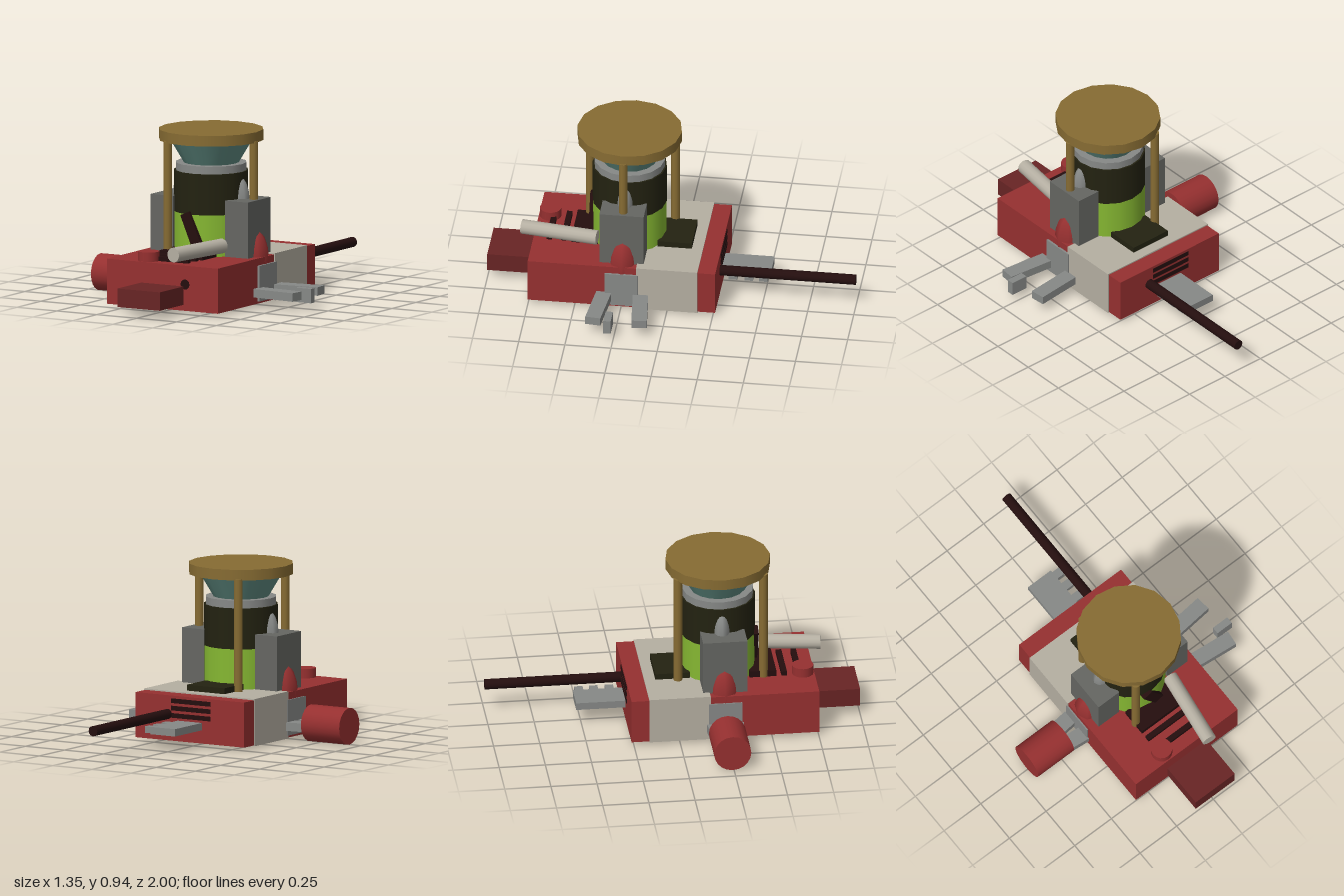
import * as THREE from 'three';

const mat = (name, color) => Object.assign(new THREE.MeshStandardMaterial({ color }), { name });

export function createModel() {
  const red = mat('red', 0x963030), darkRed = mat('dark red', 0x682424);
  const beige = mat('beige', 0xb5afa2), gold = mat('gold', 0x876c33);
  const teal = mat('teal', 0x628f85), lightGrey = mat('light grey', 0x878987);
  const darkGrey = mat('dark grey', 0x656662), green = mat('green', 0x86b832);
  const olive = mat('dark olive', 0x232211), brown = mat('dark brown', 0x240e0e);

  const model = new THREE.Group();
  model.name = 'model';
  const add = (name, geometry, material) => {
    const mesh = new THREE.Mesh(geometry, material);
    mesh.name = name;
    model.add(mesh);
    return mesh;
  };
  // box given by its limits on each axis
  const box = (name, material, x0, x1, y0, y1, z0, z1) => {
    const m = add(name, new THREE.BoxGeometry(x1 - x0, y1 - y0, z1 - z0), material);
    m.position.set((x0 + x1) / 2, (y0 + y1) / 2, (z0 + z1) / 2);
    return m;
  };
  // cylinder between two points
  const rod = (name, material, a, b, r, sides = 16) => {
    const from = new THREE.Vector3(...a), to = new THREE.Vector3(...b);
    const dir = to.clone().sub(from);
    const m = add(name, new THREE.CylinderGeometry(r, r, dir.length(), sides), material);
    m.position.copy(from).add(to).multiplyScalar(0.5);
    m.quaternion.setFromUnitVectors(new THREE.Vector3(0, 1, 0), dir.normalize());
    return m;
  };
  const CX = 0.0145, CZ = 0.245; // axis of the central column

  // hull, band and front step
  box('hull', red, -0.335, 0.36, 0.02, 0.265, -0.263, 0.753);
  box('hullBand', beige, -0.34, 0.367, 0.016, 0.272, -0.167, 0.165);
  box('frontStep', darkRed, -0.12, 0.146, 0.052, 0.152, 0.74, 1);
  rod('bottomDisc', gold, [CX, 0.0185, CZ], [CX, 0.025, CZ], 0.2);

  // central column
  const section = (name, material, y0, y1, r0, r1 = r0) => {
    const m = add(name, new THREE.CylinderGeometry(r1, r0, y1 - y0, 16), material);
    m.position.set(CX, (y0 + y1) / 2, CZ);
  };
  section('columnBase', green, 0.2, 0.49, 0.2);
  section('columnUpper', olive, 0.49, 0.712, 0.201);
  section('columnRing', lightGrey, 0.712, 0.754, 0.192);
  section('columnFunnel', teal, 0.754, 0.88, 0.15, 0.225);
  section('roofDisc', gold, 0.877, 0.935, 0.283);
  for (let i = 0; i < 3; i++) {
    const a = (i * Math.PI * 2) / 3;
    const x = CX + 0.267 * Math.cos(a), z = CZ + 0.267 * Math.sin(a);
    rod('roofPost', gold, [x, 0.25, z], [x, 0.885, z], 0.024, 10);
  }

  // side towers, caps, bulges and mounting plates
  for (const s of [-1, 1]) {
    const x = (d) => CX + s * d;
    const span = (a, b) => [Math.min(x(a), x(b)), Math.max(x(a), x(b))];
    box('sideTower', darkGrey, ...span(0.163, 0.304), 0.26, 0.57, 0.13, 0.37);
    const cap = add('towerCap', new THREE.SphereGeometry(1, 10, 8), lightGrey);
    cap.scale.set(0.065, 0.13, 0.045);
    cap.position.set(x(0.172), 0.56, CZ);
    const bulge = add('sideBulge', new THREE.SphereGeometry(1, 8, 8), red);
    bulge.scale.set(0.083, 0.17, 0.08);
    bulge.position.set(x(0.27), 0.24, CZ);
    box('sidePlate', lightGrey, ...span(0.32, 0.357), 0.032, 0.226, 0.155, 0.335);
  }

  // claw prongs: spreading on the left, closing on the right
  for (const s of [-1, 1]) {
    for (const k of [-1, 1]) {
      const g = new THREE.BoxGeometry(0.29, 0.046, 0.083);
      const prong = add('clawProng', g, lightGrey);
      prong.position.set(s > 0 ? 0.48 : -0.455, 0.083, s > 0 ? 0.24 + k * 0.111 : 0.244 + k * 0.047);
      prong.rotation.y = -k * 0.1;
    }
  }
  box('clawThumb', lightGrey, 0.576, 0.673, 0.042, 0.12, 0.262, 0.302);
  rod('sideDrum', red, [-0.68, 0.1, 0.243], [-0.435, 0.1, 0.243], 0.1, 20);

  // long barrel and toothed rear plate
  rod('barrel', brown, [0.155, 0.163, -1], [0.155, 0.163, 0.754], 0.028, 12);
  box('rearPlate', lightGrey, -0.065, 0.09, 0.092, 0.132, -0.53, -0.255);
  for (const z of [-0.495, -0.415, -0.33]) {
    box('rearTooth', lightGrey, 0.085, 0.135, 0.095, 0.13, z - 0.023, z + 0.023);
  }
  for (let i = 0; i < 3; i++) {
    const y = 0.145 + i * 0.04;
    box('rearVent', brown, -0.12, 0.13, y, y + 0.025, -0.266, -0.26);
  }

  // deck details
  box('rearHatch', olive, -0.108, 0.133, 0.25, 0.304, -0.107, 0.08);
  box('deckBlock', brown, -0.13, 0.14, 0.25, 0.3, 0.4, 0.545);
  for (const z of [0.588, 0.667]) box('deckSlat', brown, -0.13, 0.13, 0.25, 0.288, z - 0.015, z + 0.015);
  rod('deckKnob', red, [-0.11, 0.25, 0.69], [-0.11, 0.316, 0.69], 0.058);
  rod('deckTube', beige, [0.118, 0.328, 0.815], [0.175, 0.328, 0.4], 0.04, 14);
  const lever = box('lever', brown, -0.014, 0.046, 0.305, 0.505, 0.42, 0.46);
  lever.rotation.z = 0.4;

  return model;
}
